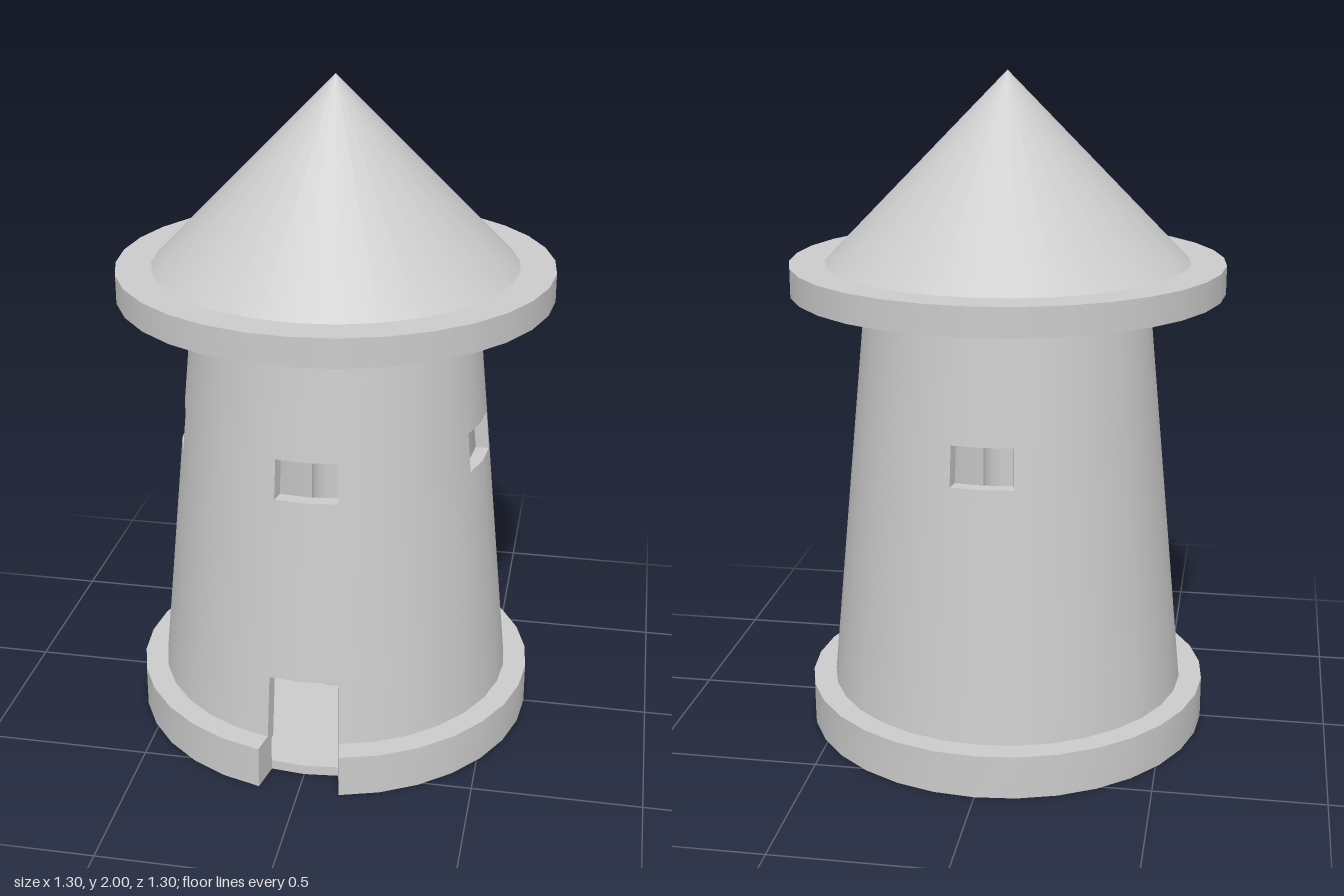
import * as THREE from 'three';
import { toCreasedNormals } from 'three/addons/utils/BufferGeometryUtils.js';

const SIDES = 32;
const STEP = (Math.PI * 2) / SIDES;
const material = new THREE.MeshStandardMaterial({ color: 0xcccccc });

function addMesh(group, name, geometry, y = 0) {
  const mesh = new THREE.Mesh(geometry, material);
  mesh.name = name;
  mesh.position.y = y;
  group.add(mesh);
}

// Round hollow wall made of cells; isOpen(row, column) leaves a cell out as an opening.
// Column i covers the angles i * STEP to (i + 1) * STEP, counted from +z towards +x.
function hollowWall(heights, outerRadius, innerRadius, isOpen) {
  const positions = [];
  const rows = heights.length - 1;
  const solid = (row, col) =>
    row >= 0 && row < rows && !isOpen(row, (col + SIDES) % SIDES);
  const point = (radiusAt, row, col) => {
    const y = heights[row];
    const a = (col % SIDES) * STEP;
    return [radiusAt(y) * Math.sin(a), y, radiusAt(y) * Math.cos(a)];
  };
  const quad = (a, b, c, d) => positions.push(...a, ...b, ...c, ...a, ...c, ...d);

  for (let r = 0; r < rows; r++) {
    for (let c = 0; c < SIDES; c++) {
      if (!solid(r, c)) continue;
      const [o00, o10, o11, o01] = [[r, c], [r, c + 1], [r + 1, c + 1], [r + 1, c]]
        .map(([row, col]) => point(outerRadius, row, col));
      const [i00, i10, i11, i01] = [[r, c], [r, c + 1], [r + 1, c + 1], [r + 1, c]]
        .map(([row, col]) => point(innerRadius, row, col));
      quad(o00, o10, o11, o01);
      quad(i10, i00, i01, i11);
      if (!solid(r + 1, c)) quad(o01, o11, i11, i01);
      if (!solid(r - 1, c)) quad(i00, i10, o10, o00);
      if (!solid(r, c + 1)) quad(o10, i10, i11, o11);
      if (!solid(r, c - 1)) quad(i00, o00, o01, i01);
    }
  }
  const geometry = new THREE.BufferGeometry();
  geometry.setAttribute('position', new THREE.Float32BufferAttribute(positions, 3));
  return toCreasedNormals(geometry, 0.6);
}

export function createModel() {
  const group = new THREE.Group();

  // Columns either side of the front centre line
  const doorColumns = [SIDES - 1, 0];
  // Front, left, back and right windows
  const windowColumns = [SIDES - 1, 0, 6, 7, 15, 16, 24, 25];

  // Base ring with the gap for the doorway, and the floor inside it
  addMesh(group, 'baseRing', hollowWall(
    [0, 0.13], () => 0.615, () => 0.52,
    (row, col) => doorColumns.includes(col)));
  addMesh(group, 'floor', new THREE.CylinderGeometry(0.52, 0.52, 0.03, SIDES), 0.015);

  // Tapered tower wall with the door and windows
  const towerRadius = (y) => 0.545 - ((y - 0.13) * 0.12) / 1.23;
  addMesh(group, 'towerWall', hollowWall(
    [0.11, 0.325, 0.88, 1.0, 1.37], towerRadius, (y) => towerRadius(y) - 0.04,
    (row, col) =>
      (row === 0 && doorColumns.includes(col)) ||
      (row === 2 && windowColumns.includes(col))));

  // Central column from the floor to the roof
  addMesh(group, 'centralColumn', new THREE.CylinderGeometry(0.074, 0.074, 1.34, SIDES), 0.7);

  // Overhanging platform and pointed roof
  addMesh(group, 'platform', new THREE.CylinderGeometry(0.648, 0.648, 0.085, SIDES), 1.4025);
  addMesh(group, 'roof', new THREE.ConeGeometry(0.543, 0.555, SIDES), 1.7225);

  return group;
}
